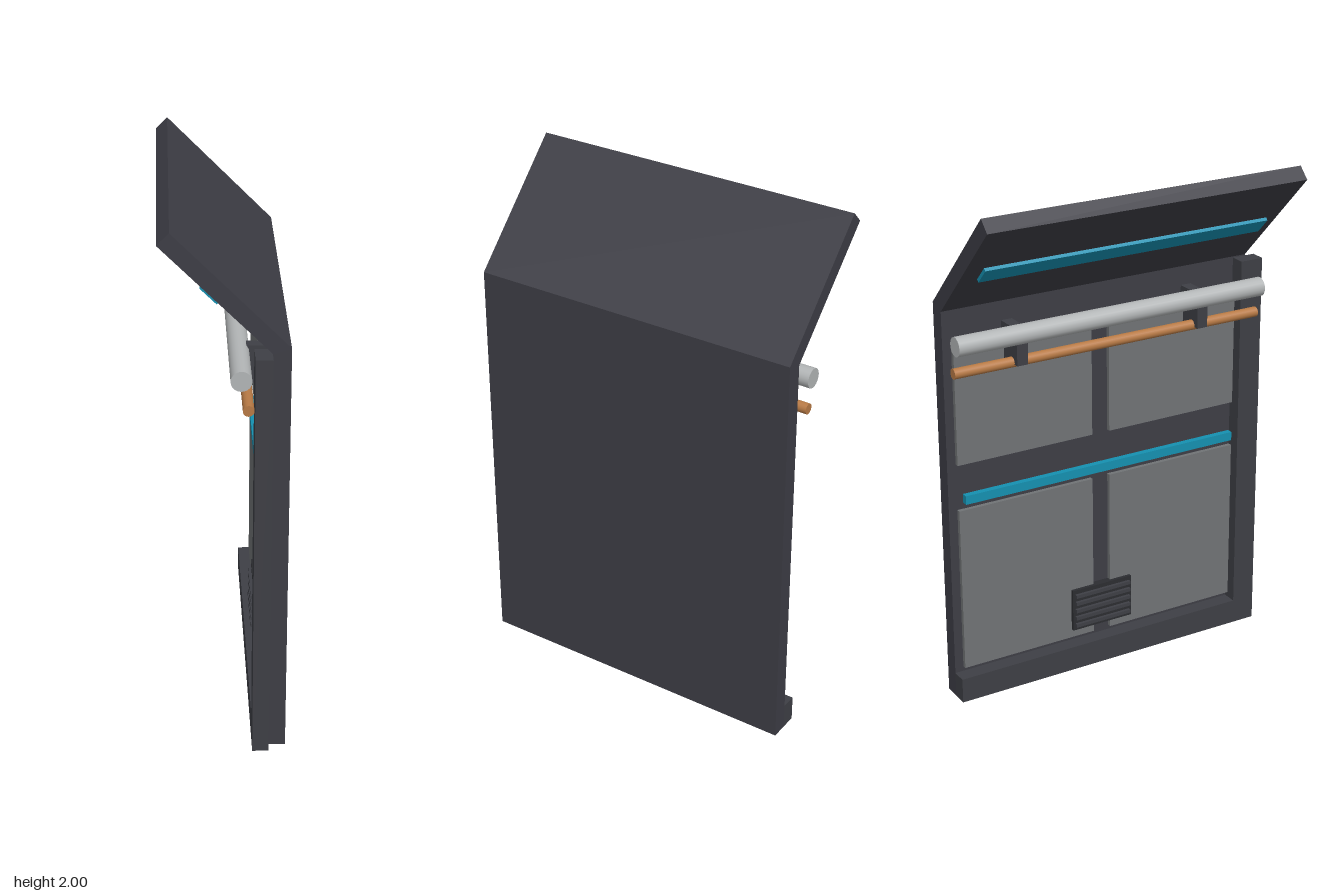
import * as THREE from 'three';

const mat = (name, color) => {
  const m = new THREE.MeshStandardMaterial({ color });
  m.name = name;
  return m;
};

export function createModel() {
  const model = new THREE.Group();
  model.name = 'wallSection';
  const shell = mat('shell grey', 0x3d3d45);
  const frame = mat('frame grey', 0x3e3f45);
  const lining = mat('lining grey', 0x707375);
  const dark = mat('dark metal', 0x2c2d31);
  const steel = mat('steel', 0xb2b5b6);
  const copper = mat('copper', 0xb87a45);
  const glow = mat('cyan light', 0x1590b0);

  const add = (name, geometry, material) => {
    const mesh = new THREE.Mesh(geometry, material);
    mesh.name = name;
    model.add(mesh);
    return mesh;
  };
  // Box given by its lower and upper limits on each axis
  const box = (name, material, [x0, x1], [y0, y1], [z0, z1]) => {
    const mesh = add(name, new THREE.BoxGeometry(x1 - x0, y1 - y0, z1 - z0), material);
    mesh.position.set((x0 + x1) / 2, (y0 + y1) / 2, (z0 + z1) / 2);
    return mesh;
  };
  // Profile in x and y, extruded along the wall
  const slab = (name, points) => {
    const shape = new THREE.Shape(points.map(([x, y]) => new THREE.Vector2(x, y)));
    const geometry = new THREE.ExtrudeGeometry(shape, { depth: 1.3, bevelEnabled: false });
    add(name, geometry, shell).position.z = -0.67;
  };
  const pipe = (name, material, radius, x, y) => {
    const mesh = add(name, new THREE.CylinderGeometry(radius, radius, 1.3, 20), material);
    mesh.rotation.x = Math.PI / 2;
    mesh.position.set(x, y, -0.02);
  };

  // Upright wall and the slanted panel above it
  slab('wall', [[0.16, 0], [0.223, 0], [0.223, 1.59], [0.16, 1.57]]);
  slab('slantedPanel', [[0.16, 1.57], [0.223, 1.59], [-0.182, 2], [-0.225, 1.957]]);

  // Edge post and floor rail on the inner side
  box('edgePost', frame, [0.1, 0.16], [0, 1.565], [0.575, 0.67]);
  box('floorRail', frame, [0.1, 0.16], [0, 0.1], [-0.67, 0.575]);

  // Two columns of lining panels
  for (const z of [[-0.635, -0.065], [0.01, 0.575]]) {
    box('lowerLiningPanel', lining, [0.143, 0.165], [0.12, 0.785], z);
    box('upperLiningPanel', lining, [0.143, 0.165], [0.97, 1.43], z);
  }

  // Light strips on the wall and under the slant
  box('wallLight', glow, [0.135, 0.165], [0.81, 0.845], [-0.61, 0.57]);
  const light = add('slantLight', new THREE.BoxGeometry(0.08, 0.013, 1.17), glow);
  light.position.set(-0.05, 1.755, -0.025);
  light.rotation.z = -Math.PI / 4;

  // Pipes and their brackets
  pipe('largePipe', steel, 0.037, 0.055, 1.47);
  pipe('smallPipe', copper, 0.02, 0.08, 1.36);
  for (const z of [-0.41, 0.36]) {
    box('pipeBracket', frame, [0.04, 0.165], [1.355, 1.495], [z - 0.022, z + 0.022]);
  }

  // Slatted vent
  box('vent', dark, [0.13, 0.165], [0.155, 0.33], [-0.165, 0.1]);
  for (let i = 0; i < 5; i++) {
    const y = 0.178 + i * 0.032;
    box('ventSlat', frame, [0.118, 0.132], [y - 0.007, y + 0.007], [-0.155, 0.09]);
  }
  return model;
}
